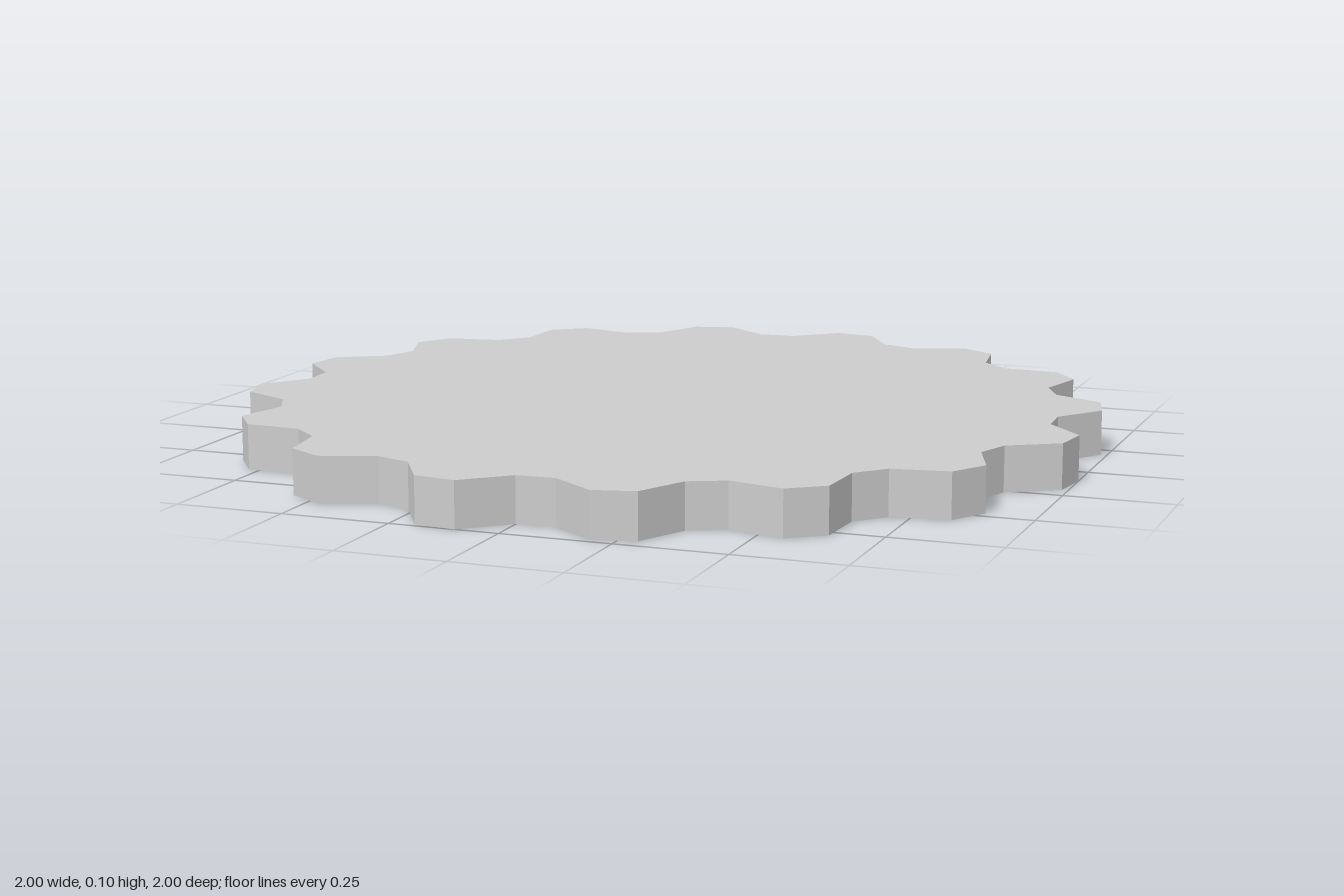
import * as THREE from 'three';

const TEETH = 16;
const ROOT_RADIUS = 0.912;
const TIP_RADIUS = 1.005;
const THICKNESS = 0.104;

export function createModel() {
  const group = new THREE.Group();
  group.name = 'gear';

  // Outline: four evenly spaced corners per tooth (root, tip, tip, root)
  const radii = [ROOT_RADIUS, TIP_RADIUS, TIP_RADIUS, ROOT_RADIUS];
  const points = [];
  for (let i = 0; i < TEETH * 4; i++) {
    const angle = (i / (TEETH * 4)) * Math.PI * 2;
    const r = radii[i % 4];
    points.push(new THREE.Vector2(r * Math.cos(angle), r * Math.sin(angle)));
  }

  // Solid toothed disc, laid flat on the ground
  const geometry = new THREE.ExtrudeGeometry(new THREE.Shape(points), {
    depth: THICKNESS,
    bevelEnabled: false,
  });
  geometry.rotateX(Math.PI / 2);
  geometry.translate(0, THICKNESS, 0);

  const material = new THREE.MeshStandardMaterial({ color: 0xcccccc, flatShading: true });
  const disc = new THREE.Mesh(geometry, material);
  disc.name = 'toothedDisc';
  group.add(disc);
  return group;
}
